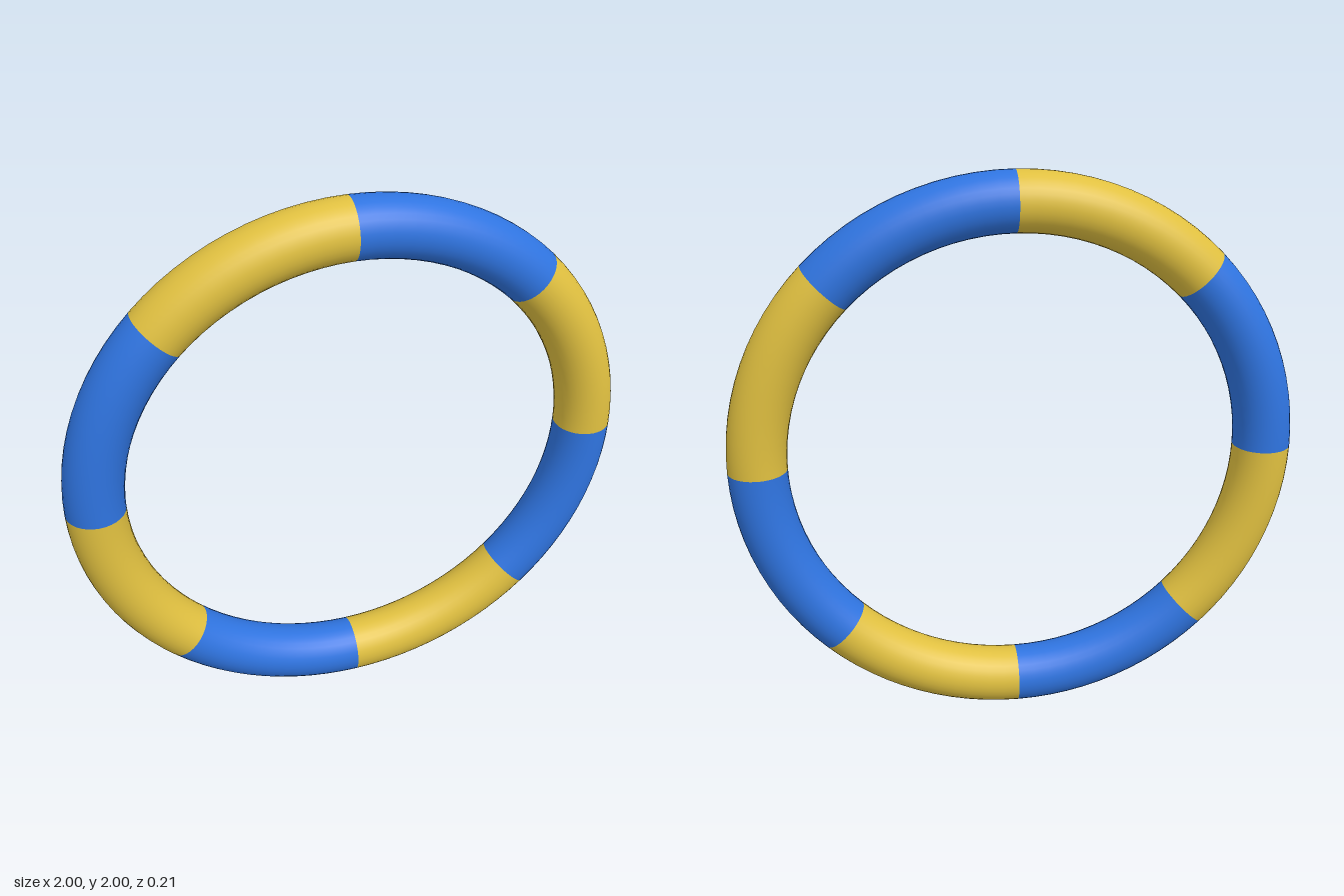
import * as THREE from 'three';

const SEGMENTS = 8;
const TUBE_RADIUS = 0.103;
const RING_RADIUS = 1 - TUBE_RADIUS;

export function createModel() {
  const yellow = new THREE.MeshStandardMaterial({ name: 'yellow', color: 0xe0c040 });
  const blue = new THREE.MeshStandardMaterial({ name: 'blue', color: 0x2f74e0 });

  const ring = new THREE.Group();
  ring.name = 'ring';
  ring.position.y = 1;

  // One arc of the tube, repeated around the ring in alternating colours
  const arc = (Math.PI * 2) / SEGMENTS;
  const geometry = new THREE.TorusGeometry(RING_RADIUS, TUBE_RADIUS, 32, 12, arc);
  for (let i = 0; i < SEGMENTS; i++) {
    const isYellow = i % 2 === 0;
    const segment = new THREE.Mesh(geometry, isYellow ? yellow : blue);
    segment.name = `${isYellow ? 'yellow' : 'blue'}Segment${Math.floor(i / 2) + 1}`;
    segment.rotation.z = i * arc;
    ring.add(segment);
  }

  const model = new THREE.Group();
  model.name = 'stripedRing';
  model.add(ring);
  return model;
}
